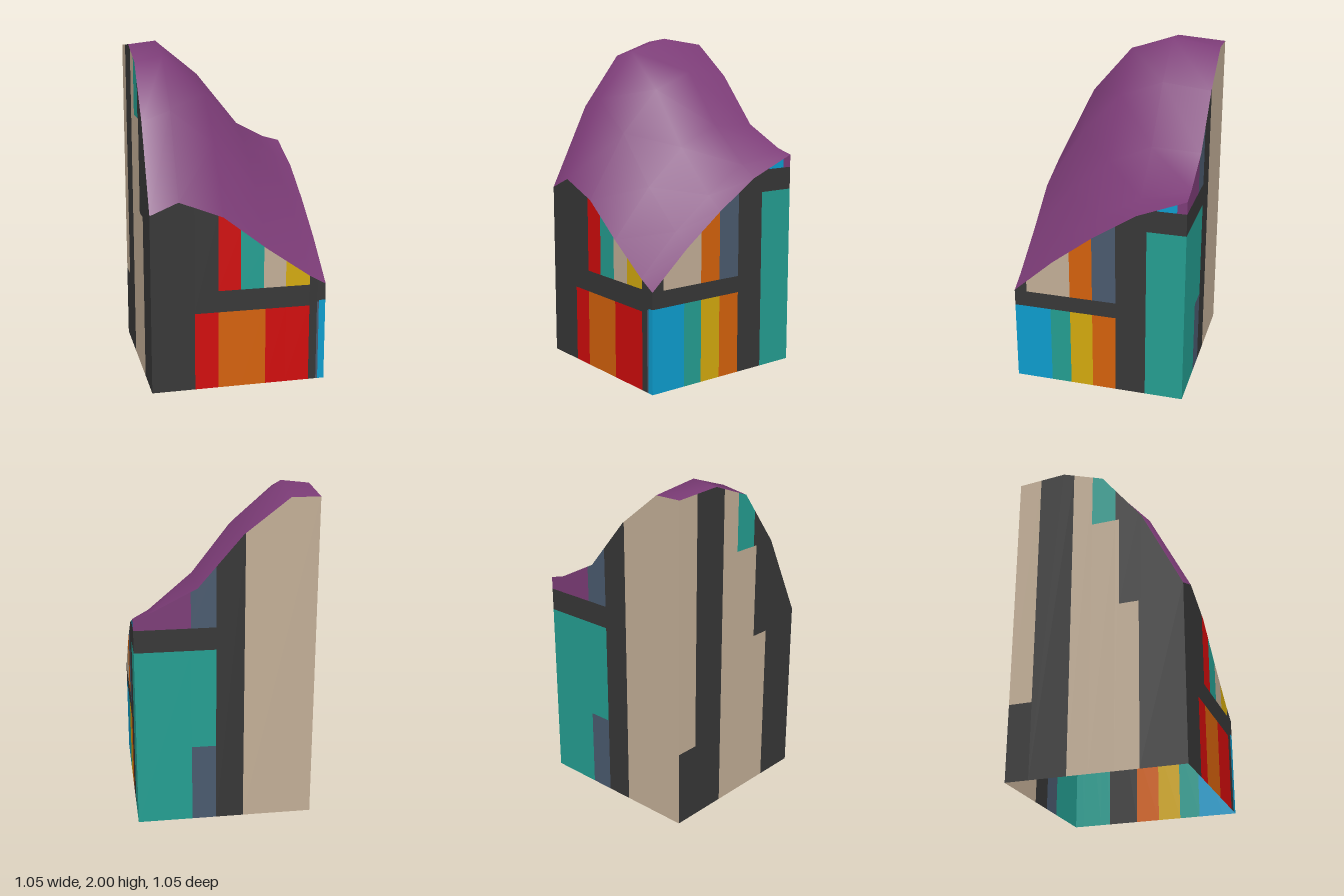
import * as THREE from 'three';

const H = 0.527; // half width of the square plan

const paint = (name, color) => {
  const m = new THREE.MeshStandardMaterial({ color, side: THREE.DoubleSide });
  m.name = name;
  return m;
};
const M = {
  dark: paint('charcoal', 0x373737),
  red: paint('red', 0xd00c0c),
  orange: paint('orange', 0xd4610c),
  teal: paint('teal', 0x249e91),
  beige: paint('beige', 0xc2ae96),
  yellow: paint('yellow', 0xd3a90e),
  blue: paint('blue', 0x0d9ccd),
  slate: paint('slate', 0x4a5a6e),
  purple: paint('purple', 0x7c3c77),
};

// Roof heights: rows run from front to back, columns from -x to +x
const XS = [-H, -0.36, -0.1, 0.16, 0.42, H];
const ZS = [H, 0.28, 0.03, -0.23, -H];
const ROOF = [
  [1.07, 1.14, 1.04, 0.84, 0.66, 0.60],
  [1.57, 1.63, 1.43, 1.13, 0.90, 0.82],
  [1.89, 1.92, 1.69, 1.35, 1.09, 1.01],
  [1.98, 2.00, 1.79, 1.47, 1.25, 1.18],
  [1.96, 1.96, 1.76, 1.46, 1.33, 1.30],
];

function makeRoof() {
  const pos = [], idx = [], n = XS.length;
  ZS.forEach((z, j) => XS.forEach((x, i) => pos.push(x, ROOF[j][i], z)));
  for (let j = 0; j < ZS.length - 1; j++) {
    for (let i = 0; i < n - 1; i++) {
      const a = j * n + i, b = a + 1, c = a + n, d = c + 1;
      idx.push(a, b, d, a, d, c);
    }
  }
  const g = new THREE.BufferGeometry();
  g.setAttribute('position', new THREE.Float32BufferAttribute(pos, 3));
  g.setIndex(idx);
  g.computeVertexNormals();
  const roof = new THREE.Mesh(g, M.purple);
  roof.name = 'roof';
  return roof;
}

// Height of a wall's top edge at u, from its [u, y] profile
function topAt(profile, u) {
  for (let i = 1; i < profile.length; i++) {
    const [u0, y0] = profile[i - 1], [u1, y1] = profile[i];
    if (u <= u1) return y0 + (y1 - y0) * (u - u0) / (u1 - u0);
  }
  return profile[profile.length - 1][1];
}

// A wall is a row of columns [u0, u1, colour, y, colour, y, ... colour];
// the last colour of each column runs up to the roof edge.
function makeWall(name, angle, profile, columns) {
  const wall = new THREE.Group();
  wall.name = name;
  wall.rotation.y = angle;
  for (const [u0, u1, ...bands] of columns) {
    const us = [u0, ...profile.map(p => p[0]).filter(u => u > u0 && u < u1), u1];
    let low = 0;
    for (let k = 0; k < bands.length; k += 2) {
      const high = k + 1 < bands.length ? bands[k + 1] : Infinity;
      const top = us.map(u => new THREE.Vector2(u, Math.min(high, topAt(profile, u))));
      const shape = new THREE.Shape([
        new THREE.Vector2(u0, low), new THREE.Vector2(u1, low), ...top.reverse(),
      ]);
      const panel = new THREE.Mesh(new THREE.ShapeGeometry(shape), M[bands[k]]);
      panel.name = bands[k] === 'dark' ? 'wallFrame' : 'wallPanel';
      panel.position.z = H;
      wall.add(panel);
      low = high;
    }
  }
  return wall;
}

export function createModel() {
  const model = new THREE.Group();
  model.name = 'slopedBuilding';
  model.add(makeRoof());

  // Top edges of the walls, each in its own left-to-right direction
  const frontEdge = XS.map((x, i) => [x, ROOF[0][i]]);
  const backEdge = XS.map((x, i) => [-x, ROOF[4][i]]).reverse();
  const rightEdge = ZS.map((z, j) => [-z, ROOF[j][5]]);
  const leftEdge = ZS.map((z, j) => [z, ROOF[j][0]]).reverse();

  model.add(makeWall('frontWall', 0, frontEdge, [
    [-H, -0.27, 'dark'],
    [-0.27, -0.13, 'red', 0.47, 'dark'],
    [-0.13, 0.005, 'orange', 0.47, 'dark', 0.6, 'red'],
    [0.005, 0.145, 'orange', 0.47, 'dark', 0.6, 'teal'],
    [0.145, 0.157, 'orange', 0.47, 'dark', 0.6, 'beige'],
    [0.157, 0.28, 'red', 0.47, 'dark', 0.6, 'beige'],
    [0.28, 0.428, 'red', 0.47, 'dark', 0.6, 'yellow'],
    [0.428, 0.475, 'dark'],
    [0.475, 0.487, 'slate', 0.49, 'dark'],
    [0.487, H, 'blue', 0.5, 'dark'],
  ]));

  // +x side, u = -z
  model.add(makeWall('sideWallPlusX', Math.PI / 2, rightEdge, [
    [-H, -0.45, 'blue', 0.5, 'dark'],
    [-0.45, -0.3, 'blue', 0.5, 'dark', 0.6, 'beige'],
    [-0.3, -0.175, 'teal', 0.5, 'dark', 0.6, 'beige'],
    [-0.175, -0.035, 'yellow', 0.5, 'dark', 0.6, 'orange'],
    [-0.035, 0.11, 'orange', 0.5, 'dark', 0.6, 'slate'],
    [0.11, 0.295, 'dark'],
    [0.295, 0.355, 'teal', 1.09, 'dark'],
    [0.355, 0.47, 'teal', 1.09, 'dark', 1.225, 'blue'],
    [0.47, H, 'teal', 1.09, 'dark', 1.225, 'purple'],
  ]));

  // Back, u = -x
  model.add(makeWall('backWall', Math.PI, backEdge, [
    [-H, -0.2, 'teal', 1.09, 'dark', 1.225, 'purple'],
    [-0.2, -0.055, 'slate', 0.48, 'teal', 1.09, 'dark', 1.225, 'slate'],
    [-0.055, 0.11, 'dark'],
    [0.11, H, 'beige'],
  ]));

  // -x side, u = z
  model.add(makeWall('sideWallMinusX', -Math.PI / 2, leftEdge, [
    [-H, -0.385, 'dark', 0.46, 'beige'],
    [-0.385, -0.16, 'dark'],
    [-0.16, -0.035, 'beige'],
    [-0.035, 0.115, 'beige', 1.57, 'teal'],
    [0.115, 0.14, 'beige', 1.57, 'dark'],
    [0.14, 0.26, 'beige', 1.0, 'dark'],
    [0.26, H, 'dark'],
  ]));

  return model;
}
